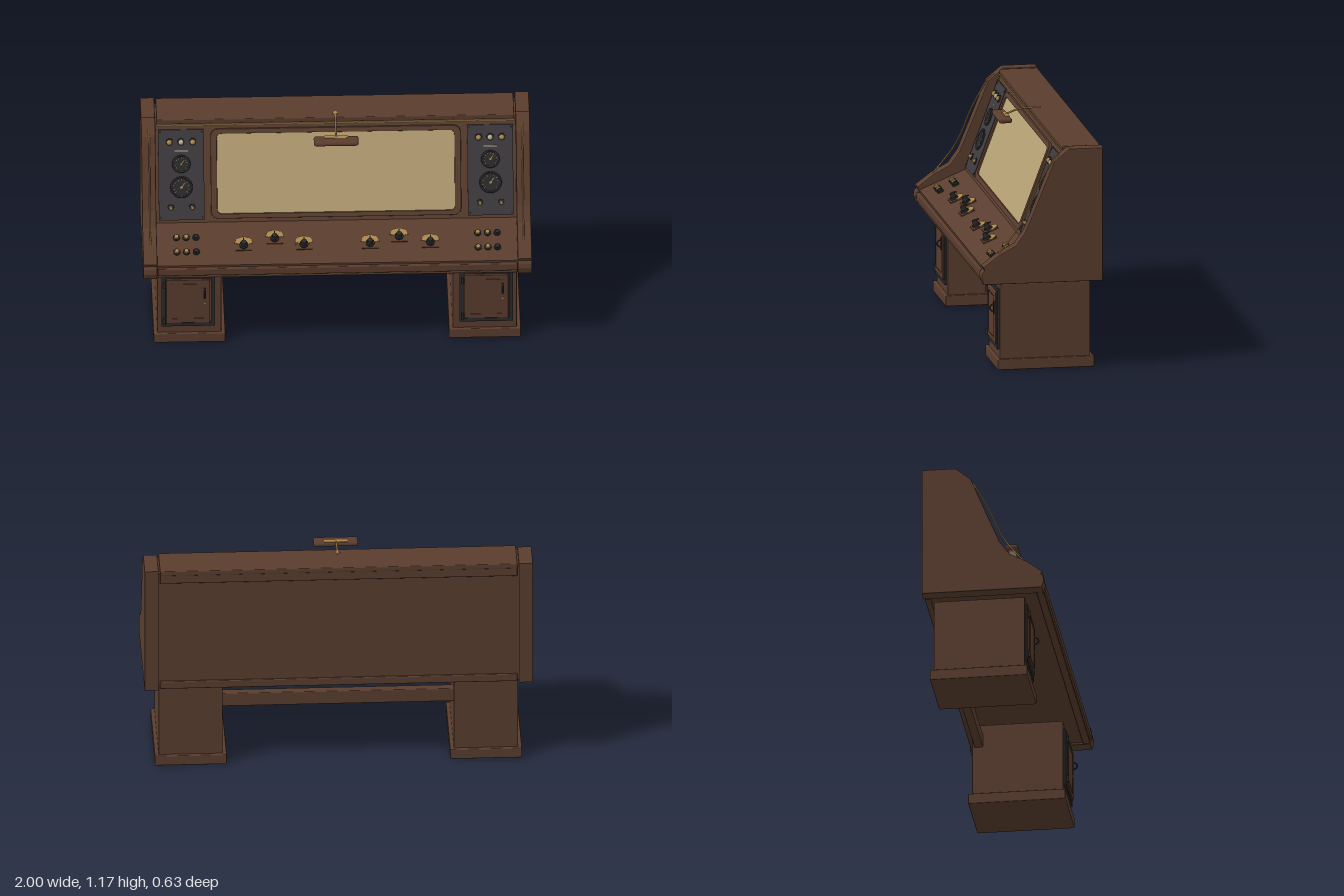
import * as THREE from 'three';
import { RoundedBoxGeometry } from 'three/addons/geometries/RoundedBoxGeometry.js';

const mat = (name, color) => new THREE.MeshStandardMaterial({ name, color });
const walnut = mat('walnut', 0x5a3d2e);
const slate = mat('slate panel', 0x3f3b40);
const iron = mat('dark iron', 0x2b2a2b);
const brass = mat('brass', 0xa9864a);
const glass = mat('tan screen', 0xb8a276);
const ivory = mat('ivory', 0xb5aa95);

function add(parent, name, geo, material, x = 0, y = 0, z = 0) {
  const m = new THREE.Mesh(geo, material);
  m.name = name;
  m.position.set(x, y, z);
  parent.add(m);
  return m;
}

function group(parent, name, x = 0, y = 0, z = 0) {
  const g = new THREE.Group();
  g.name = name;
  g.position.set(x, y, z);
  parent.add(g);
  return g;
}

// Softly rounded wooden block given by its extents
function block(parent, name, [x0, x1], [y0, y1], [z0, z1], material = walnut) {
  const geo = new RoundedBoxGeometry(x1 - x0, y1 - y0, z1 - z0, 2, 0.005);
  return add(parent, name, geo, material, (x0 + x1) / 2, (y0 + y1) / 2, (z0 + z1) / 2);
}

// Extrude a (z, y) profile along x, centred on x = 0
function profileSlab(points, width, bevel = 0) {
  const shape = new THREE.Shape(points.map(p => new THREE.Vector2(...p)));
  const depth = width - 2 * bevel;
  const geo = new THREE.ExtrudeGeometry(shape, {
    depth, bevelEnabled: bevel > 0, bevelSize: bevel, bevelThickness: bevel, bevelOffset: -bevel, bevelSegments: 2,
  });
  return geo.translate(0, 0, -depth / 2).rotateY(-Math.PI / 2);
}

function roundedRect(w, h, r, Type = THREE.Shape) {
  const s = new Type(), x = w / 2, y = h / 2;
  s.moveTo(-x + r, -y).lineTo(x - r, -y).quadraticCurveTo(x, -y, x, -y + r);
  s.lineTo(x, y - r).quadraticCurveTo(x, y, x - r, y);
  s.lineTo(-x + r, y).quadraticCurveTo(-x, y, -x, y - r);
  s.lineTo(-x, -y + r).quadraticCurveTo(-x, -y, -x + r, -y);
  return s;
}

// Disc or knob whose axis is local z, standing on z = 0
const knobGeo = (r, h, top = r) => new THREE.CylinderGeometry(top, r, h, 24).rotateX(Math.PI / 2).translate(0, 0, h / 2);

// Group lying on a sloped face: local y runs up the slope, local z is its normal
function slopeGroup(parent, name, [z0, y0], [z1, y1]) {
  const g = group(parent, name, 0, (y0 + y1) / 2, (z0 + z1) / 2);
  g.rotation.x = -Math.atan2(z0 - z1, y1 - y0);
  return g;
}

function tube(points, r) {
  const curve = new THREE.CatmullRomCurve3(points.map(p => new THREE.Vector3(...p)));
  return new THREE.TubeGeometry(curve, 32, r, 8);
}

function addGauge(parent, x, y, r) {
  const g = group(parent, 'gauge', x, y, 0.008);
  add(g, 'gaugeFace', knobGeo(r, 0.006), iron);
  add(g, 'gaugeBezel', new THREE.TorusGeometry(r, 0.005, 8, 32), iron, 0, 0, 0.006);
  add(g, 'gaugeRing', new THREE.TorusGeometry(r * 0.9, 0.0018, 6, 32), slate, 0, 0, 0.007);
  for (let i = 0; i < 11; i++) {
    const a = -0.7 + i * (Math.PI + 1.4) / 10;
    const t = add(g, 'gaugeTick', new THREE.BoxGeometry(r * 0.16, 0.002, 0.002), ivory,
      Math.cos(a) * r * 0.75, Math.sin(a) * r * 0.75, 0.0065);
    t.rotation.z = a;
  }
  const needle = add(g, 'gaugeNeedle', new THREE.BoxGeometry(0.004, r * 0.8, 0.002), brass, r * 0.15, r * 0.2, 0.008);
  needle.rotation.z = -0.6;
  add(g, 'gaugeHub', knobGeo(r * 0.13, 0.009), brass);
}

function addPedestal(parent, side) {
  const cx = side * 0.76;
  const p = group(parent, side > 0 ? 'leftPedestal' : 'rightPedestal', cx);
  block(p, 'cabinet', [-0.165, 0.165], [0.05, 0.45], [-0.262, 0.21]);
  block(p, 'plinth', [-0.185, 0.185], [0, 0.056], [-0.28, 0.225]);
  // Door with iron surround, hinges and ring handle
  const d = group(p, 'door', side * 0.007, 0.26, 0.21);
  const frame = roundedRect(0.275, 0.32, 0.004);
  frame.holes.push(roundedRect(0.235, 0.28, 0.004, THREE.Path));
  add(d, 'doorFrame', new THREE.ExtrudeGeometry(frame, { depth: 0.01, bevelEnabled: false }), iron);
  add(d, 'doorPanel', new RoundedBoxGeometry(0.226, 0.272, 0.018, 2, 0.004), walnut, 0, 0, 0.008);
  const inset = roundedRect(0.17, 0.22, 0.003);
  inset.holes.push(roundedRect(0.163, 0.213, 0.003, THREE.Path));
  add(d, 'doorMoulding', new THREE.ExtrudeGeometry(inset, { depth: 0.003, bevelEnabled: false }), walnut, 0, 0, 0.016);
  for (const y of [-0.12, 0.105]) {
    add(d, 'hinge', new THREE.CylinderGeometry(0.007, 0.007, 0.035, 12), iron, -0.122, y, 0.018);
  }
  add(d, 'handlePlate', new THREE.BoxGeometry(0.012, 0.07, 0.004), iron, 0.085, 0.05, 0.019);
  add(d, 'handle', new THREE.TorusGeometry(0.018, 0.004, 8, 20, Math.PI).rotateZ(-Math.PI / 2).rotateY(-Math.PI / 2), iron, 0.085, 0.05, 0.022);
  add(d, 'keyhole', knobGeo(0.005, 0.004), brass, 0.085, -0.01, 0.016);
}

export function createModel() {
  const model = new THREE.Group();
  model.name = 'controlConsole';

  // Pedestals and the rail joining them
  addPedestal(model, 1);
  addPedestal(model, -1);
  block(model, 'stretcherRail', [-0.6, 0.6], [0.325, 0.4], [-0.25, -0.205]);

  // Console body
  const lip = [0.3, 0.54], crease = [0.06, 0.64], crest = [-0.12, 1.12];
  add(model, 'body', profileSlab([[-0.3, 0.475], [0.295, 0.475], lip, crease, crest, [-0.12, 1.14], [-0.3, 1.14]], 1.86), walnut);
  block(model, 'topBoard', [-0.92, 0.92], [1.136, 1.163], [-0.315, -0.118]);
  block(model, 'backTopRail', [-0.92, 0.92], [1.09, 1.145], [-0.313, -0.29]);
  block(model, 'backBottomRail', [-0.92, 0.92], [0.468, 0.51], [-0.31, -0.28]);
  block(model, 'frontBullnose', [-0.925, 0.925], [0.486, 0.528], [0.28, 0.316]);
  block(model, 'frontApron', [-0.925, 0.925], [0.467, 0.484], [0.27, 0.308]);
  add(model, 'topTrim', new THREE.BoxGeometry(1.84, 0.006, 0.006), brass, 0, 1.132, -0.118);

  // Curved end panels with a brass rod along each edge
  const sideProfile = [[-0.315, 0.464], [0.308, 0.464], [0.32, 0.5], [0.316, 0.525], [0.304, 0.54], [0.31, 0.556],
    [0.225, 0.62], [0.14, 0.665], [0.09, 0.735], [0.05, 0.83], [-0.06, 1.1], [-0.115, 1.145], [-0.14, 1.165], [-0.315, 1.165]];
  for (const s of [1, -1]) {
    add(model, 'endPanel', profileSlab(sideProfile, 0.073, 0.005), walnut, s * 0.9635);
    add(model, 'edgeRod', tube([[0, 1.13, -0.1], [0, 1.1, -0.062], [0, 1.02, -0.012], [0, 0.93, 0.034], [0, 0.84, 0.07],
      [0, 0.76, 0.112], [0, 0.69, 0.165], [0, 0.62, 0.224]], 0.004), brass, s * 0.96);
  }

  // Sloped face: screen and instrument panels
  const face = slopeGroup(model, 'instrumentFace', crease, crest);
  const bezel = roundedRect(1.28, 0.47, 0.04);
  bezel.holes.push(roundedRect(1.23, 0.434, 0.03, THREE.Path));
  add(face, 'screenBezel', new THREE.ExtrudeGeometry(bezel, {
    depth: 0.01, bevelSize: 0.004, bevelThickness: 0.004, bevelSegments: 2,
  }), walnut, 0, 0.004, 0.001);
  add(face, 'screen', new THREE.ExtrudeGeometry(roundedRect(1.24, 0.444, 0.03), { depth: 0.006, bevelEnabled: false }), glass, 0, 0.004, 0);

  for (const s of [-1, 1]) {
    const p = group(face, 'instrumentPanel', s * 0.795, 0, 0);
    add(p, 'panelPlate', new THREE.BoxGeometry(0.235, 0.482, 0.016), slate);
    [-0.06, 0, 0.06].forEach((x, i) => {
      add(p, 'lampSocket', knobGeo(0.02, 0.006), iron, x, 0.176, 0.008);
      add(p, 'lamp', new THREE.SphereGeometry(0.014, 16, 10), i === 1 ? ivory : brass, x, 0.176, 0.014);
    });
    add(p, 'labelStrip', new THREE.BoxGeometry(0.07, 0.006, 0.003), ivory, 0, 0.128, 0.009);
    addGauge(p, 0, 0.06, 0.043);
    addGauge(p, 0, -0.064, 0.053);
    for (const x of [-0.055, 0.055]) {
      add(p, 'knobCollar', knobGeo(0.017, 0.005), iron, x, -0.172, 0.008);
      add(p, 'smallKnob', knobGeo(0.01, 0.022, 0.008), brass, x, -0.172, 0.008);
    }
    for (const x of [-0.108, 0.108]) for (const y of [-0.228, 0.228]) {
      add(p, 'screw', knobGeo(0.005, 0.003), iron, x, y, 0.008);
    }
  }

  // Desk: rotary selectors and push buttons
  const desk = slopeGroup(model, 'controlDesk', lip, crease);
  const up = z => (0.18 - z) / 0.923;
  const arc = new THREE.Shape();
  arc.absarc(0, 0, 0.05, 0.25, Math.PI - 0.25, false);
  arc.absarc(0, 0, 0.024, Math.PI - 0.25, 0.25, true);
  const arcGeo = new THREE.ExtrudeGeometry(arc, { depth: 0.003, bevelEnabled: false });
  [-0.48, -0.32, -0.17, 0.17, 0.32, 0.48].forEach((x, i) => {
    const k = group(desk, 'selector', x, up(i % 3 === 1 ? 0.16 : 0.195), 0);
    add(k, 'selectorPlate', new THREE.BoxGeometry(0.085, 0.075, 0.008), walnut, 0, 0.008, 0.002);
    add(k, 'selectorScale', arcGeo, brass, 0, 0, 0.006);
    add(k, 'selectorSkirt', knobGeo(0.022, 0.01), iron, 0, 0, 0.006);
    add(k, 'selectorKnob', knobGeo(0.016, 0.034, 0.013), iron, 0, 0, 0.006);
    add(k, 'selectorPointer', new THREE.BoxGeometry(0.005, 0.026, 0.008), iron, 0, 0.012, 0.036);
  });
  for (const s of [-1, 1]) for (const z of [0.145, 0.225]) [-0.05, 0, 0.05].forEach((x, i) => {
    const b = group(desk, 'pushButton', s * 0.775 + x, up(z), 0);
    add(b, 'buttonCollar', knobGeo(0.018, 0.008), iron);
    add(b, 'buttonCap', knobGeo(0.013, 0.018, 0.011), i === 2 ? iron : brass);
  });

  // Overhanging lamp
  const lamp = group(model, 'deskLamp');
  add(lamp, 'lampArm', tube([[0, 1.158, -0.165], [0, 1.164, -0.11], [0, 1.16, -0.06], [0, 1.148, -0.02], [0, 1.132, 0.02]], 0.005), brass);
  add(lamp, 'lampFoot', new THREE.CylinderGeometry(0.012, 0.014, 0.006, 16), brass, 0, 1.164, -0.155);
  add(lamp, 'lampShade', new RoundedBoxGeometry(0.23, 0.026, 0.068, 4, 0.012), walnut, 0, 1.122, 0.034);
  add(lamp, 'lampBracket', new THREE.BoxGeometry(0.12, 0.004, 0.022), brass, 0, 1.135, 0.016);
  add(lamp, 'lampTube', new THREE.BoxGeometry(0.18, 0.004, 0.03), ivory, 0, 1.1085, 0.034);
  return model;
}
